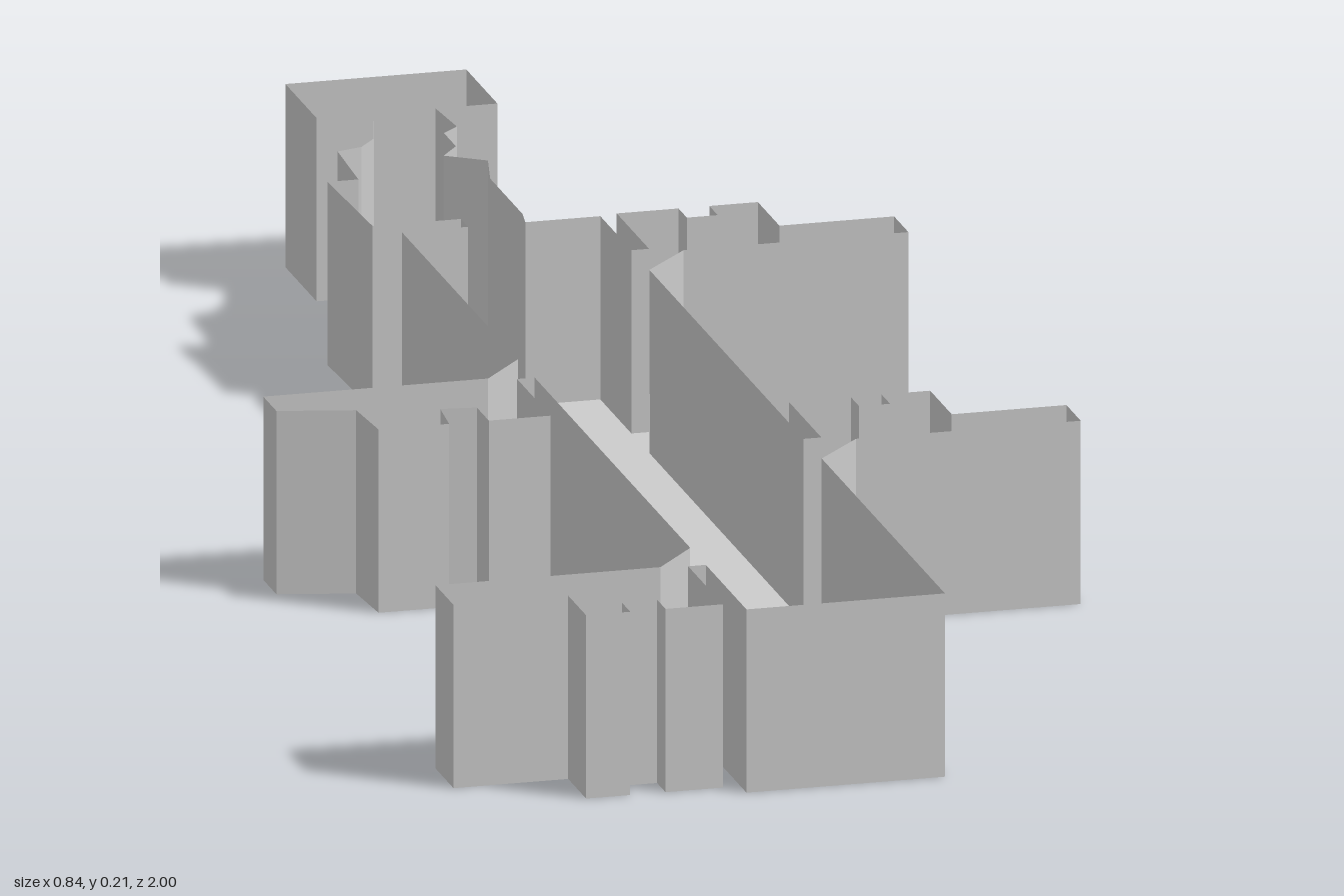
import * as THREE from 'three';

const HEIGHT = 0.21;
const material = new THREE.MeshStandardMaterial({
  color: 0xcccccc, flatShading: true, side: THREE.DoubleSide,
});

// Plan outlines as [x, z], running clockwise when seen from above.
const endRoom = [
  [-0.03, -0.87], [-0.095, -0.87], [-0.095, -1], [0.11, -1], [0.11, -0.87], [0.04, -0.87],
];
const passageLeft = [
  [0.04, -0.87], [0.045, -0.8], [0.025, -0.78], [0.025, -0.73], [0.003, -0.7],
  [0.045, -0.67], [0.03, -0.605], [0.03, -0.47], [0.025, -0.44], [0.11, -0.44],
];
const passageRight = [
  [-0.115, -0.44], [-0.04, -0.44], [-0.04, -0.47], [-0.14, -0.47], [-0.145, -0.64],
  [-0.11, -0.64], [-0.105, -0.745], [-0.075, -0.755], [-0.055, -0.78], [-0.03, -0.87],
];
const leftBay = [
  [0.11, -0.31], [0.13, -0.31], [0.13, -0.445], [0.2, -0.445], [0.2, -0.41],
  [0.235, -0.41], [0.235, -0.445], [0.29, -0.445], [0.29, -0.355], [0.42, -0.355],
  [0.42, -0.295], [0.165, -0.295], [0.11, -0.235],
];
const frontRightBay = [
  [-0.115, 0.83], [-0.135, 0.83], [-0.135, 0.975], [-0.2, 0.975], [-0.2, 0.94],
  [-0.24, 0.94], [-0.24, 0.975], [-0.29, 0.975], [-0.29, 0.9], [-0.42, 0.9],
  [-0.42, 0.825], [-0.165, 0.825], [-0.115, 0.765],
];
const rearRightBay = [
  [-0.115, 0.115], [-0.135, 0.115], [-0.135, 0.255], [-0.205, 0.255], [-0.205, 0.205],
  [-0.245, 0.2], [-0.25, 0.255], [-0.33, 0.255], [-0.335, 0.18], [-0.42, 0.16],
  [-0.42, 0.105], [-0.165, 0.105], [-0.115, 0.045],
];
const shiftZ = (points, dz) => points.map(([x, z]) => [x, z + dz]);

// Thin upright wall following a run of plan points
function wallGeometry(points) {
  const pos = [];
  for (let i = 0; i < points.length - 1; i++) {
    const [ax, az] = points[i];
    const [bx, bz] = points[i + 1];
    pos.push(ax, 0, az, ax, HEIGHT, az, bx, HEIGHT, bz);
    pos.push(ax, 0, az, bx, HEIGHT, bz, bx, 0, bz);
  }
  const geometry = new THREE.BufferGeometry();
  geometry.setAttribute('position', new THREE.Float32BufferAttribute(pos, 3));
  geometry.computeVertexNormals();
  return geometry;
}

export function createModel() {
  const group = new THREE.Group();
  const add = (name, geometry) => {
    const mesh = new THREE.Mesh(geometry, material);
    mesh.name = name;
    group.add(mesh);
  };

  // Runs in order around the plan; the corridor walls fill the gaps between them
  const runs = [
    ['endRoomWalls', endRoom],
    ['passageLeftWall', passageLeft],
    ['rearLeftBayWalls', leftBay],
    ['frontLeftBayWalls', shiftZ(leftBay, 0.72)],
    ['corridorFrontWall', [[0.11, 1], [-0.115, 1]]],
    ['frontRightBayWalls', frontRightBay],
    ['rearRightBayWalls', rearRightBay],
    ['passageRightWall', passageRight],
  ];
  runs.forEach(([name, points], i) => {
    add(name, wallGeometry(points));
    const end = points[points.length - 1];
    const next = runs[(i + 1) % runs.length][1][0];
    if (Math.hypot(end[0] - next[0], end[1] - next[1]) > 1e-6) {
      add(`corridorWall${i}`, wallGeometry([end, next]));
    }
  });

  // Floor filling the whole outline, open above
  const outline = runs.flatMap(([, points]) => points)
    .filter((p, i, all) => i === 0 || p[0] !== all[i - 1][0] || p[1] !== all[i - 1][1]);
  outline.pop();
  const floor = new THREE.ShapeGeometry(new THREE.Shape(outline.map(([x, z]) => new THREE.Vector2(x, z))));
  floor.rotateX(Math.PI / 2);
  add('floor', floor);

  return group;
}
